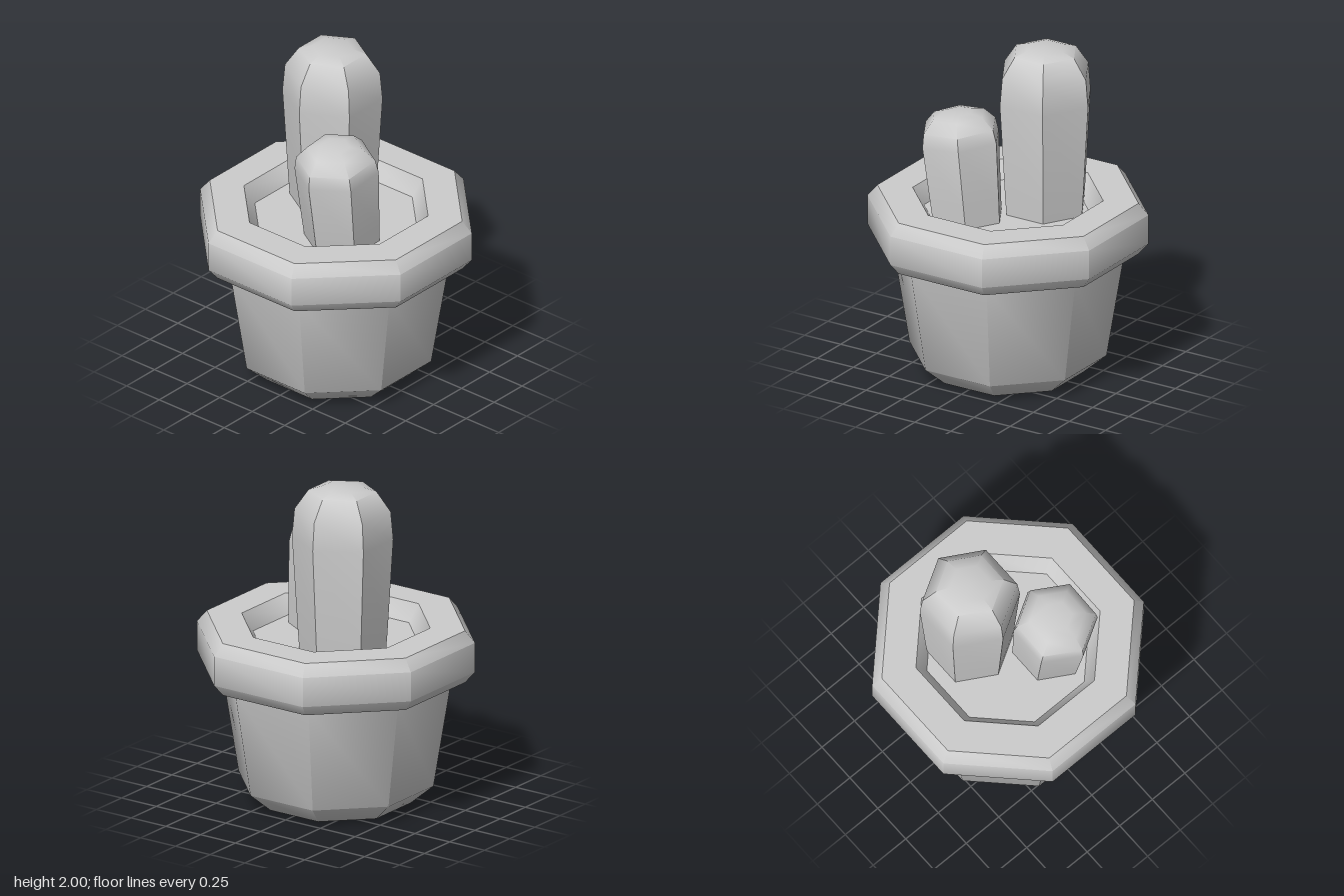
import * as THREE from 'three';
import { toCreasedNormals } from 'three/addons/utils/BufferGeometryUtils.js';

const grey = new THREE.MeshStandardMaterial({ color: 0xcccccc });
grey.name = 'grey';

// Faceted turned part: profile of [radius, height] from bottom to top
function turned(name, profile, sides, startAngle) {
  const points = profile.map(([r, y]) => new THREE.Vector2(r, y));
  const lathe = new THREE.LatheGeometry(points, sides, startAngle);
  const mesh = new THREE.Mesh(toCreasedNormals(lathe, THREE.MathUtils.degToRad(50)), grey);
  mesh.name = name;
  return mesh;
}

// Octagonal part, given by its flat-to-flat half widths
function octagon(name, profile) {
  const k = 1 / Math.cos(Math.PI / 8);
  return turned(name, profile.map(([r, y]) => [r * k, y]), 8, Math.PI / 8);
}

// Hexagonal stem with ridges on the x axis
function stem(name, profile, x, y, z, lean) {
  const mesh = turned(name, profile, 6, Math.PI / 6);
  mesh.position.set(x, y, z);
  mesh.rotation.z = lean;
  return mesh;
}

export function createModel() {
  const model = new THREE.Group();
  model.name = 'pottedCactus';

  // Pot: tapered body, overhanging rim and sunken soil
  model.add(
    octagon('potBody', [[0, 0], [0.415, 0], [0.54, 0.115], [0.638, 0.77]]),
    octagon('potRim', [
      [0.638, 0.77], [0.715, 0.77], [0.77, 0.84], [0.77, 1.02],
      [0.715, 1.09], [0.522, 1.09], [0.46, 0.985],
    ]),
    octagon('soil', [[0.46, 0.985], [0, 0.985]]),
  );

  // Tall upright cactus and short leaning cactus
  model.add(
    stem('tallCactus', [
      [0.252, 0], [0.262, 0.13], [0.297, 0.72], [0.282, 0.89],
      [0.2, 1.01], [0.12, 1.035], [0, 1.04],
    ], 0.155, 0.96, -0.16, 0),
    stem('shortCactus', [
      [0.222, 0], [0.23, 0.13], [0.25, 0.5], [0.235, 0.58],
      [0.167, 0.65], [0.09, 0.668], [0, 0.67],
    ], -0.16, 0.96, 0.185, 0.1),
  );
  return model;
}
